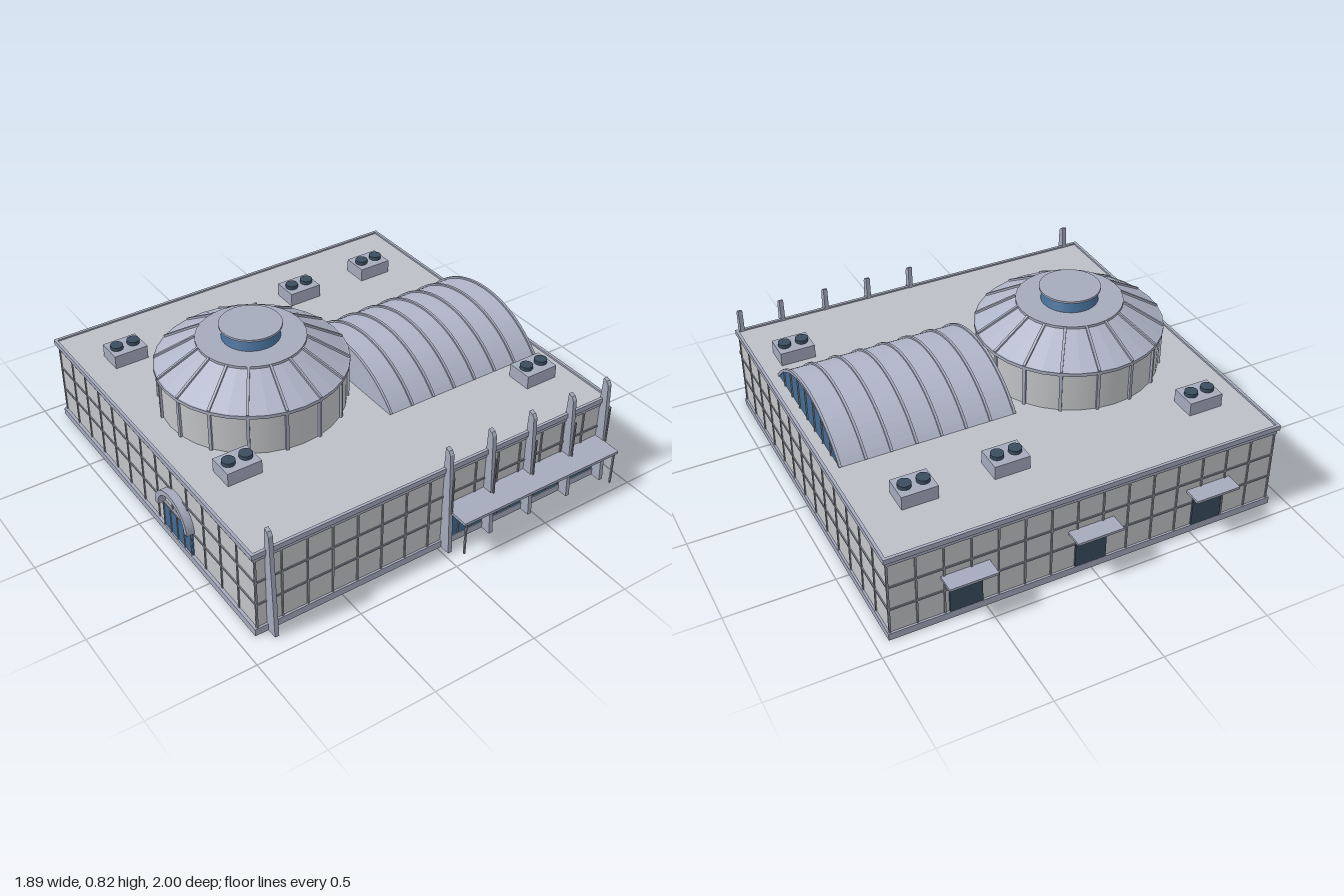
import * as THREE from 'three';

const mat = (name, color, extra = {}) => {
  const m = new THREE.MeshStandardMaterial({ color, ...extra });
  m.name = name;
  return m;
};

export function createModel() {
  const wall = mat('pale wall', 0xc3c4c7);
  const roofMat = mat('roof grey', 0xbcc0c6);
  const metal = mat('blue grey metal', 0xafb5c8, { flatShading: true });
  const trim = mat('trim grey', 0xa4aabc);
  const mullion = mat('mullion grey', 0x8d929e);
  const glass = mat('blue glass', 0x426a92, { side: THREE.DoubleSide });
  const dark = mat('dark slate', 0x3a4c5e);

  const model = new THREE.Group();
  const add = (name, geo, material, parent = model) => {
    const m = new THREE.Mesh(geo, material);
    m.name = name;
    parent.add(m);
    return m;
  };
  // box given by its limits
  const box = (name, x0, x1, y0, y1, z0, z1, material, parent) => {
    const m = add(name, new THREE.BoxGeometry(x1 - x0, y1 - y0, z1 - z0), material, parent);
    m.position.set((x0 + x1) / 2, (y0 + y1) / 2, (z0 + z1) / 2);
    return m;
  };
  const group = (name, parent = model) => {
    const g = new THREE.Group();
    g.name = name;
    parent.add(g);
    return g;
  };

  // main hall
  const X0 = -0.91, X1 = 0.93, Z0 = -0.915, Z1 = 0.855;
  box('walls', X0, X1, 0.02, 0.42, Z0, Z1, wall);
  box('plinth', -0.925, 0.94, 0, 0.035, -0.925, 0.865, trim);
  box('cornice', -0.92, 0.935, 0.395, 0.42, -0.92, 0.86, trim);
  box('roof', -0.915, 0.93, 0.41, 0.432, -0.915, 0.855, roofMat);
  const parapet = group('parapet');
  for (const [a, b, c, d] of [[-0.93, 0.945, 0.853, 0.867], [-0.93, 0.945, -0.927, -0.913],
    [-0.93, -0.916, -0.913, 0.853], [0.931, 0.945, -0.913, 0.853]])
    box('parapetRail', a, b, 0.415, 0.44, c, d, trim, parapet);

  // panel joints on all four sides
  const grid = group('wallGrid');
  const t = 0.004, p = 0.005;
  for (let i = 0; i <= 15; i++) {
    const x = X0 + (X1 - X0) * i / 15;
    box('frontJoint', x - t, x + t, x > 0.03 && x < 0.91 ? 0.21 : 0.035, 0.4, Z1, Z1 + p, mullion, grid);
    box('backJoint', x - t, x + t, 0.035, 0.4, Z0 - p, Z0, mullion, grid);
  }
  for (let i = 0; i <= 13; i++) {
    const z = Z0 + (Z1 - Z0) * i / 13;
    box('leftJoint', X1, X1 + p, 0.035, 0.4, z - t, z + t, mullion, grid);
    box('rightJoint', X0 - p, X0, 0.035, 0.4, z - t, z + t, mullion, grid);
  }
  for (const y of [0.16, 0.28]) {
    box('frontBand', X0, y < 0.2 ? 0.03 : X1, y - t, y + t, Z1, Z1 + p, mullion, grid);
    box('backBand', X0, X1, y - t, y + t, Z0 - p, Z0, mullion, grid);
    box('leftBand', X1, X1 + p, y - t, y + t, Z0, Z1, mullion, grid);
    box('rightBand', X0 - p, X0, y - t, y + t, Z0, Z1, mullion, grid);
  }

  // glazed entrance with canopy
  const entrance = group('entrance');
  box('entranceGlass', 0.035, 0.91, 0.035, 0.21, Z1, Z1 + 0.006, glass, entrance);
  for (let i = 0; i <= 12; i++) {
    const x = 0.04 + 0.865 * i / 12;
    box('entranceMullion', x - 0.003, x + 0.003, 0.035, 0.21, Z1, Z1 + 0.01, mullion, entrance);
  }
  box('entranceTransom', 0.035, 0.91, 0.152, 0.158, Z1, Z1 + 0.01, mullion, entrance);
  box('canopy', 0.03, 0.905, 0.212, 0.226, 0.85, 1, trim, entrance);
  for (const x of [0.045, 0.89])
    box('canopyPost', x - 0.004, x + 0.004, 0.045, 0.215, 0.986, 0.994, mullion, entrance);

  // tapering front fins
  const fins = group('frontFins');
  const finShape = new THREE.Shape([[0.85, 0], [0.915, 0], [0.888, 0.52], [0.876, 0.538], [0.856, 0.545], [0.85, 0.4]]
    .map(([z, y]) => new THREE.Vector2(-z, y)));
  const finGeo = new THREE.ExtrudeGeometry(finShape, { depth: 0.02, bevelEnabled: false });
  finGeo.rotateY(Math.PI / 2);
  for (const x of [-0.853, 0.03, 0.257, 0.481, 0.707, 0.912]) {
    add('fin', finGeo, trim, fins).position.x = x - 0.01;
    if (x > 0) box('tieRod', x - 0.003, x + 0.003, 0.22, 0.415, 0.907, 0.913, mullion, fins);
  }

  // round hall with conical roof and lantern
  const dome = group('dome');
  dome.position.set(-0.37, 0, -0.035);
  const ring = (name, rTop, rBottom, y0, y1, material) => {
    const m = add(name, new THREE.CylinderGeometry(rTop, rBottom, y1 - y0, 32), material, dome);
    m.position.y = (y0 + y1) / 2;
  };
  ring('drum', 0.42, 0.42, 0.42, 0.63, wall);
  ring('drumEave', 0.434, 0.434, 0.622, 0.638, trim);
  ring('coneRoof', 0.24, 0.43, 0.636, 0.748, metal);
  ring('coneRim', 0.245, 0.245, 0.744, 0.757, trim);
  ring('lantern', 0.105, 0.132, 0.755, 0.812, glass);
  ring('lanternCap', 0.14, 0.14, 0.81, 0.82, trim);
  const slope = Math.atan2(0.112, 0.19);
  for (let i = 0; i < 16; i++) {
    const arm = group('domeRib', dome);
    arm.rotation.y = (i + 0.5) * Math.PI / 8;
    box('drumRib', 0.41, 0.43, 0.43, 0.63, -0.007, 0.007, trim, arm);
    const rib = add('coneRib', new THREE.BoxGeometry(0.22, 0.014, 0.012), trim, arm);
    rib.position.set(0.335, 0.694, 0);
    rib.rotation.z = -slope;
  }

  // barrel vault
  const vault = group('barrelVault');
  const zc = 0.055, half = 0.373, rise = 0.172, base = 0.432;
  const R = (half * half + rise * rise) / (2 * rise), yc = base + rise - R;
  const sweep = Math.asin(half / R);
  const arcPoints = (r, n = 28) => Array.from({ length: n + 1 }, (_, i) => {
    const a = -sweep + 2 * sweep * i / n;
    return new THREE.Vector2(-(zc + r * Math.sin(a)), yc + r * Math.cos(a));
  });
  // solid slice of the arch running from x0 to x1
  const slice = (name, pts, x0, x1, material) => {
    const geo = new THREE.ExtrudeGeometry(new THREE.Shape(pts), { depth: x1 - x0, bevelEnabled: false });
    geo.rotateY(Math.PI / 2);
    add(name, geo, material, vault).position.x = x0;
  };
  slice('vaultRoof', arcPoints(R), 0.05, 0.875, metal);
  slice('vaultGlass', arcPoints(R - 0.004), 0.875, 0.88, glass);
  for (let i = 0; i < 8; i++) {
    const x = 0.056 + i * 0.1175;
    slice('vaultRib', [...arcPoints(R + 0.008), ...arcPoints(R - 0.006).reverse()], x - 0.006, x + 0.006, trim);
  }
  for (let i = -3; i <= 3; i++) {
    const dz = i * 0.094;
    box('vaultMullion', 0.878, 0.886, base, yc + Math.sqrt(R * R - dz * dz) - 0.004,
      zc + dz - 0.003, zc + dz + 0.003, mullion, vault);
  }

  // rooftop fan units
  for (const [x, z] of [[-0.705, -0.62], [0.255, -0.62], [0.675, -0.62], [-0.705, 0.39], [0.76, 0.555]]) {
    const unit = group('fanUnit');
    unit.position.set(x, 0, z);
    box('fanHousing', -0.083, 0.083, 0.43, 0.497, -0.062, 0.062, trim, unit);
    for (const s of [-1, 1]) {
      const fan = add('fan', new THREE.CylinderGeometry(0.03, 0.03, 0.018, 20), dark, unit);
      fan.position.set(s * 0.042, 0.506, 0);
    }
  }

  // rear service doors
  for (const x of [-0.58, 0.005, 0.59]) {
    const door = group('serviceDoor');
    box('doorPanel', x - 0.075, x + 0.075, 0.03, 0.2, Z0 - 0.009, Z0, dark, door);
    box('doorCanopy', x - 0.11, x + 0.11, 0.228, 0.24, -1, Z0, trim, door);
  }

  // arched side entrance
  const side = group('sideEntrance');
  const az = 0.22;
  box('sideGlass', X0 - 0.008, X0, 0.035, 0.17, az - 0.125, az + 0.125, glass, side);
  for (let i = -2; i <= 2; i++) {
    const z = az + i * 0.06;
    box('sideMullion', X0 - 0.012, X0, 0.035, 0.17, z - 0.003, z + 0.003, mullion, side);
  }
  box('sideTransom', X0 - 0.012, X0, 0.165, 0.173, az - 0.125, az + 0.125, mullion, side);
  const archShape = new THREE.Shape();
  archShape.absellipse(0, 0, 0.14, 0.125, 0, Math.PI, false);
  archShape.absellipse(0, 0, 0.115, 0.1, Math.PI, 0, true);
  const archGeo = new THREE.ExtrudeGeometry(archShape, { depth: 0.04, bevelEnabled: false, curveSegments: 16 });
  archGeo.rotateY(Math.PI / 2);
  add('sideArch', archGeo, trim, side).position.set(-0.948, 0.168, az);

  return model;
}
